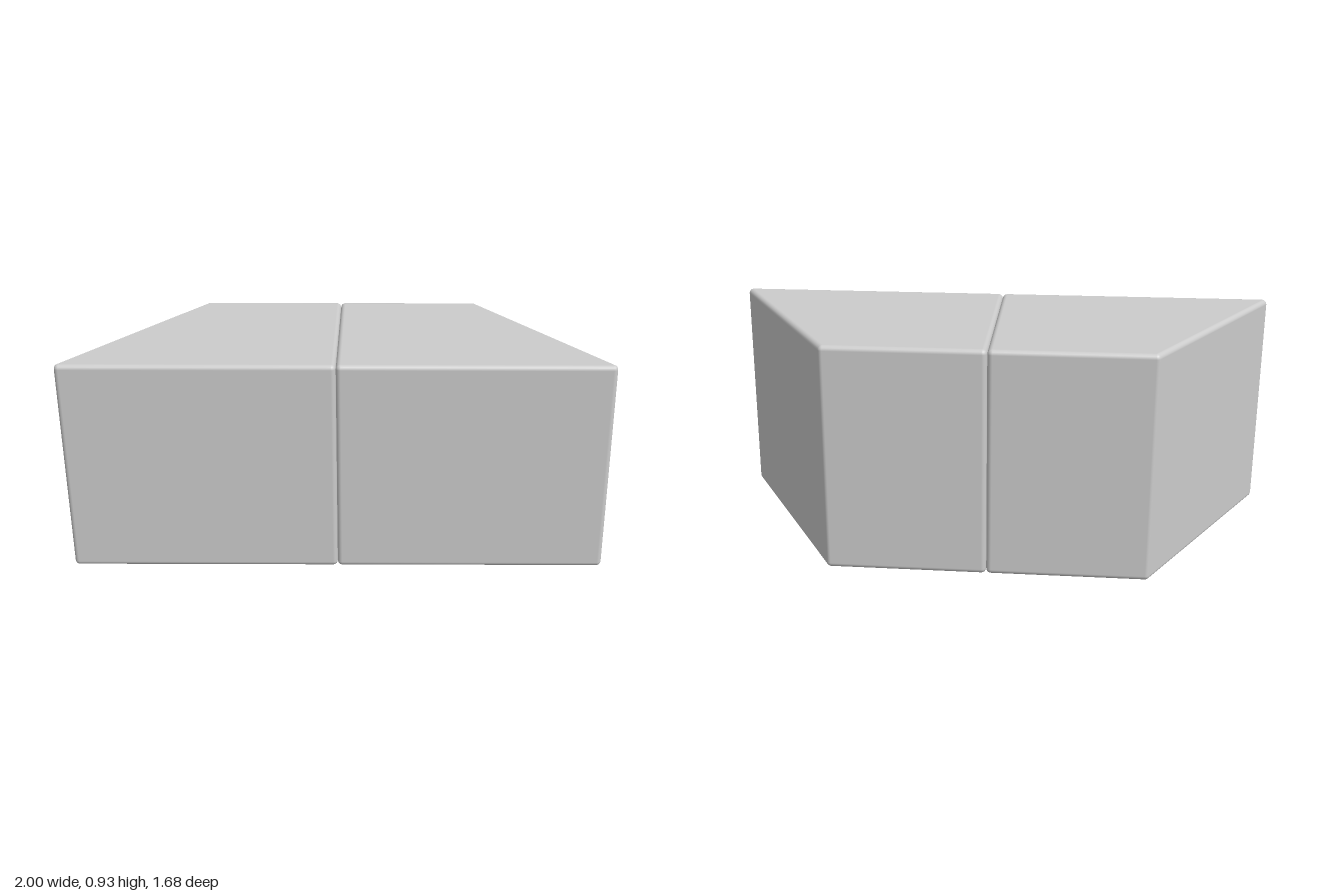
import * as THREE from 'three';

const HEIGHT = 0.928;
const RADIUS = 0.02;
const STEPS = 5;

// Upright prism over a convex outline, with every edge rounded.
// Outline points are [x, z], counterclockwise as seen from above.
function roundedPrism(outline) {
  const n = outline.length;
  const normals = outline.map(([x, z], i) => {
    const [x2, z2] = outline[(i + 1) % n];
    return new THREE.Vector2(z - z2, x2 - x).normalize();
  });

  // Contour: an arc centre and outward direction for each column
  const columns = [];
  outline.forEach(([x, z], i) => {
    const a = normals[(i + n - 1) % n], b = normals[i];
    const centre = a.clone().add(b).multiplyScalar(-RADIUS / (1 + a.dot(b))).add(new THREE.Vector2(x, z));
    const turn = Math.acos(a.dot(b));
    for (let k = 0; k <= STEPS; k++) {
      const dir = a.clone().rotateAround(new THREE.Vector2(), -turn * k / STEPS);
      columns.push({ centre, dir });
    }
  });

  // Rings: lower rounding, then upper rounding
  const rings = [];
  for (let k = 0; k <= STEPS; k++) rings.push([RADIUS, (k / STEPS - 1) * Math.PI / 2]);
  for (let k = 0; k <= STEPS; k++) rings.push([HEIGHT - RADIUS, k / STEPS * Math.PI / 2]);

  const position = [], normal = [], index = [];
  for (const [y, phi] of rings) {
    const c = Math.cos(phi), s = Math.sin(phi);
    for (const { centre, dir } of columns) {
      position.push(centre.x + RADIUS * c * dir.x, y + RADIUS * s, centre.y + RADIUS * c * dir.y);
      normal.push(c * dir.x, s, c * dir.y);
    }
  }
  const m = columns.length;
  for (let j = 0; j < rings.length - 1; j++) {
    for (let i = 0; i < m; i++) {
      const a = j * m + i, b = j * m + (i + 1) % m;
      index.push(a, b, b + m, a, b + m, a + m);
    }
  }

  // Flat bottom and top
  const top = (rings.length - 1) * m;
  for (let i = 1; i < m - 1; i++) {
    index.push(0, i + 1, i, top, top + i, top + i + 1);
  }

  const geometry = new THREE.BufferGeometry();
  geometry.setAttribute('position', new THREE.Float32BufferAttribute(position, 3));
  geometry.setAttribute('normal', new THREE.Float32BufferAttribute(normal, 3));
  geometry.setIndex(index);
  return geometry;
}

export function createModel() {
  const group = new THREE.Group();
  group.name = 'trapezoidBlocks';
  const material = new THREE.MeshStandardMaterial({ color: 0xcccccc });

  // Two mirrored half trapezoids meeting at the seam x = 0
  const front = 1.168, back = 0.638, depth = 0.918;
  const half = [[0, 0], [front, 0], [back, -depth], [0, -depth]];
  const mirrored = half.map(([x, z]) => [-x, z]).reverse();

  for (const [name, outline] of [['leftBlock', half], ['rightBlock', mirrored]]) {
    const mesh = new THREE.Mesh(roundedPrism(outline), material);
    mesh.name = name;
    group.add(mesh);
  }

  // Turn the pair and centre it
  group.rotation.y = Math.PI / 6;
  group.position.set(0.01, 0, 0.266);

  const model = new THREE.Group();
  model.name = 'model';
  model.add(group);
  return model;
}
